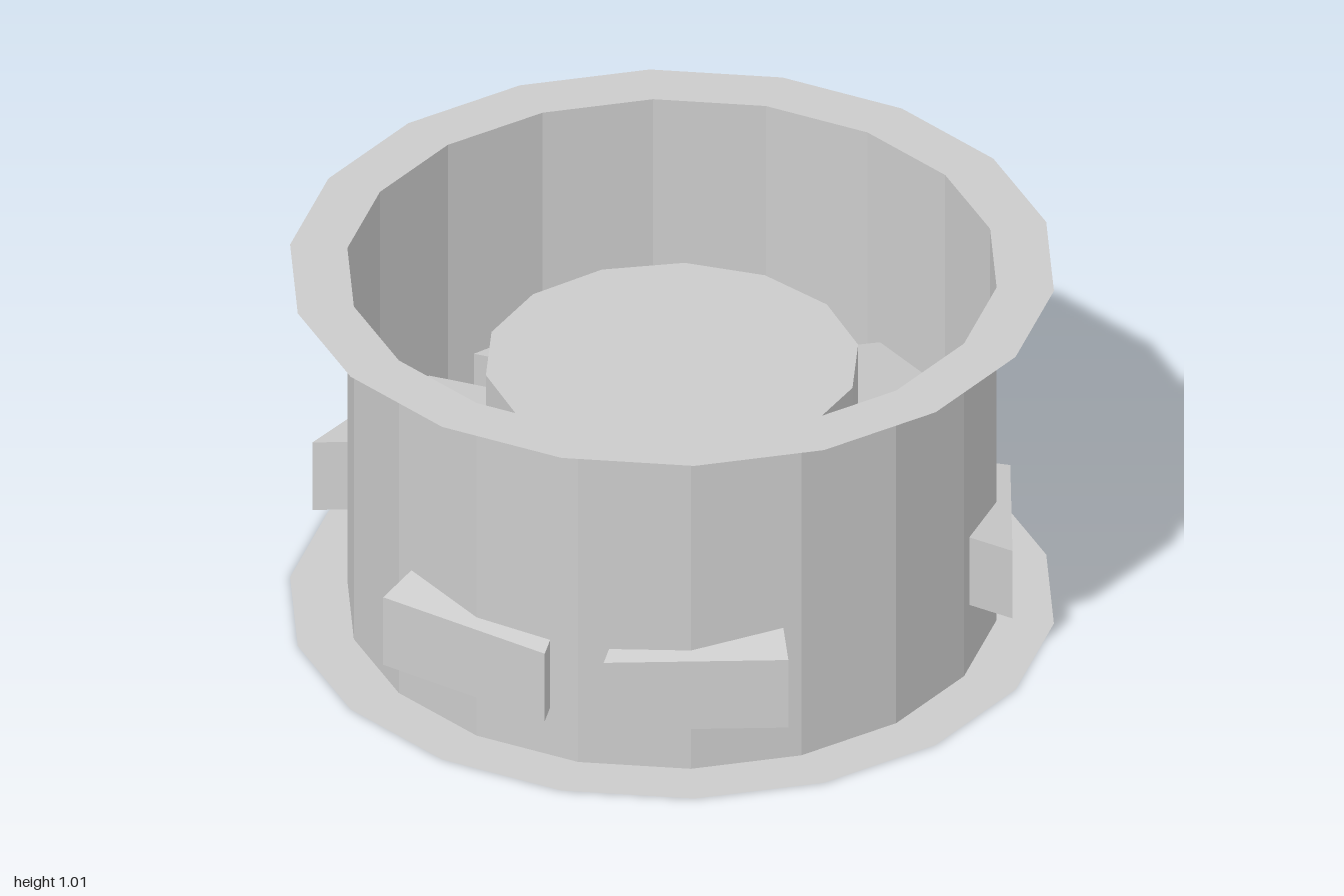
import * as THREE from 'three';

const SIDES = 18;
const HEIGHT = 1.01;
const RADIUS = 0.85;

const solid = new THREE.MeshStandardMaterial({ color: 0xcccccc, flatShading: true });
const sheet = new THREE.MeshStandardMaterial({ color: 0xcccccc, flatShading: true, side: THREE.DoubleSide });

function addMesh(parent, name, geometry, material) {
  const mesh = new THREE.Mesh(geometry, material);
  mesh.name = name;
  parent.add(mesh);
  return mesh;
}

// Tapered spoke: flat outline raised to a slab, then sloped up towards the hub
function spokeGeometry(side) {
  const outline = [[0.08, 0.2], [0.3, 0.2], [0.55, 0.78], [0.08, 0.885]];
  const shape = new THREE.Shape(outline.map(([x, z]) => new THREE.Vector2(x * side, -z)));
  const geometry = new THREE.ExtrudeGeometry(shape, { depth: 0.205, bevelEnabled: false });
  geometry.rotateX(-Math.PI / 2);
  const p = geometry.attributes.position;
  for (let i = 0; i < p.count; i++) {
    p.setY(i, p.getY(i) + 0.13 + 0.28 * (0.885 - p.getZ(i)));
  }
  geometry.computeVertexNormals();
  return geometry;
}

export function createModel() {
  const wheel = new THREE.Group();
  wheel.name = 'wheelRim';

  // Open barrel
  const barrel = new THREE.CylinderGeometry(RADIUS, RADIUS, HEIGHT, SIDES, 1, true);
  barrel.translate(0, HEIGHT / 2, 0);
  addMesh(wheel, 'barrel', barrel, sheet);

  // Flat flanges at both ends
  for (const [name, y] of [['lowerFlange', 0], ['upperFlange', HEIGHT]]) {
    const profile = [new THREE.Vector2(RADIUS, y), new THREE.Vector2(1, y)];
    addMesh(wheel, name, new THREE.LatheGeometry(profile, SIDES), sheet);
  }

  // Solid hub
  const hub = new THREE.CylinderGeometry(0.49, 0.49, 0.55, 14, 1, false, Math.PI / 2);
  hub.translate(0, 0.455, 0);
  addMesh(wheel, 'hub', hub, solid);

  // Three mirrored pairs of spokes, poking through the barrel
  const spokes = [spokeGeometry(1), spokeGeometry(-1)];
  for (let i = 0; i < 3; i++) {
    const pair = new THREE.Group();
    pair.name = 'spokePair' + (i + 1);
    pair.rotation.y = (i * Math.PI * 2) / 3;
    addMesh(pair, 'leftSpoke', spokes[0], solid);
    addMesh(pair, 'rightSpoke', spokes[1], solid);
    wheel.add(pair);
  }
  return wheel;
}
